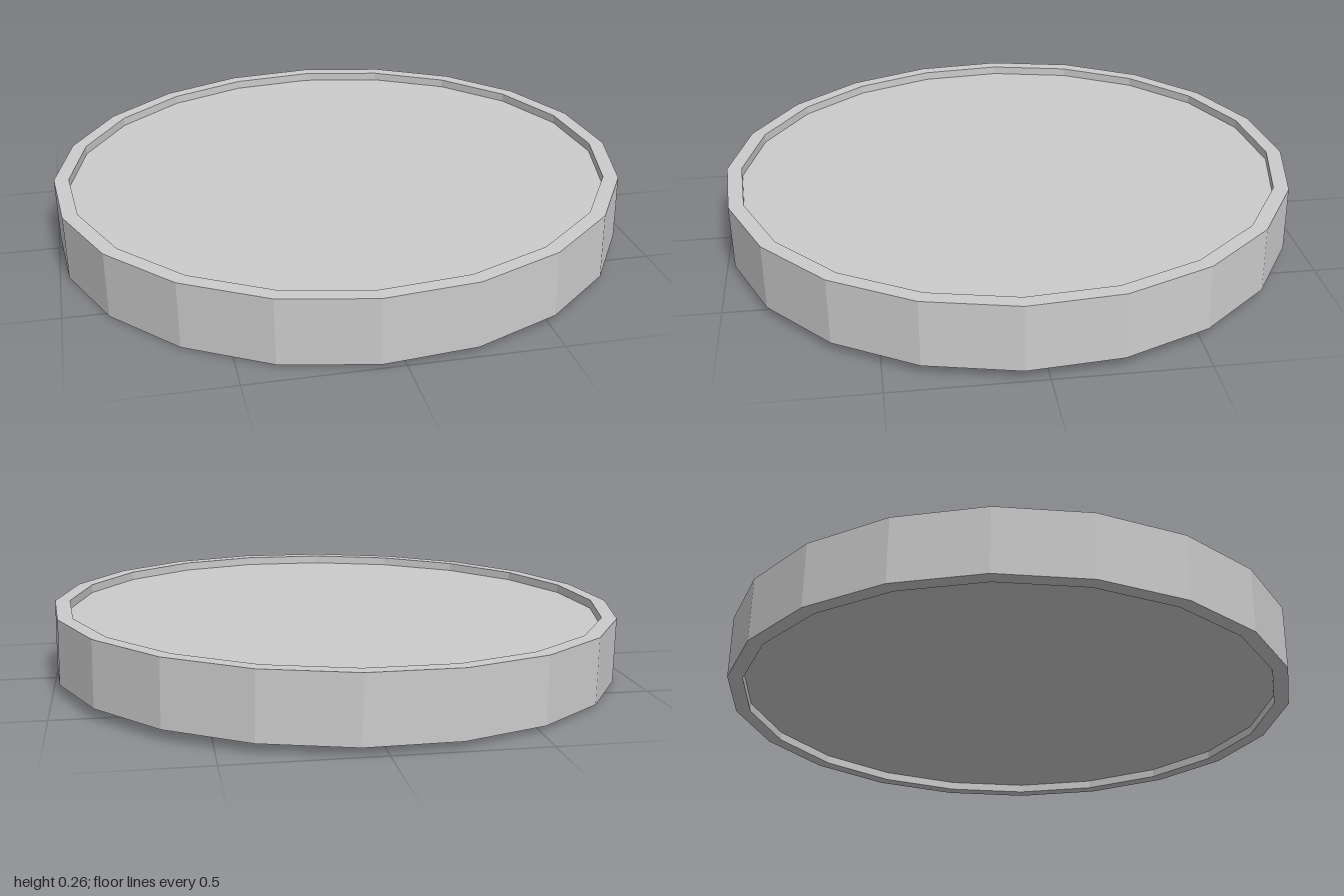
import * as THREE from 'three';

const SIDES = 20;
const START = THREE.MathUtils.degToRad(-4.6);
const OUTER = 1, INNER = 0.948, HEIGHT = 0.225, RECESS = 0.03;

export function createModel() {
  const group = new THREE.Group();
  group.name = 'shallowDisc';
  const material = new THREE.MeshStandardMaterial({ color: 0xcccccc, flatShading: true });

  const add = (name, geometry) => {
    const flat = geometry.toNonIndexed();
    flat.computeVertexNormals();
    const mesh = new THREE.Mesh(flat, material);
    mesh.name = name;
    group.add(mesh);
    return mesh;
  };

  // Raised rim: a rectangular section turned around the axis
  const section = [
    [INNER, 0], [OUTER, 0], [OUTER, HEIGHT], [INNER, HEIGHT], [INNER, 0],
  ].map(([r, y]) => new THREE.Vector2(r, y));
  add('rim', new THREE.LatheGeometry(section, SIDES, START));

  // Flat plate, recessed on both faces
  const plate = add('plate',
    new THREE.CylinderGeometry(INNER, INNER, HEIGHT - 2 * RECESS, SIDES, 1, false, START));
  plate.position.y = HEIGHT / 2;

  // Slight tilt: the left and back edges sit higher
  group.rotation.set(0.0075, 0, 0.018);
  group.position.set(0.002, 0.0195, -0.001);

  const model = new THREE.Group();
  model.name = 'tiltedDisc';
  model.add(group);
  return model;
}
